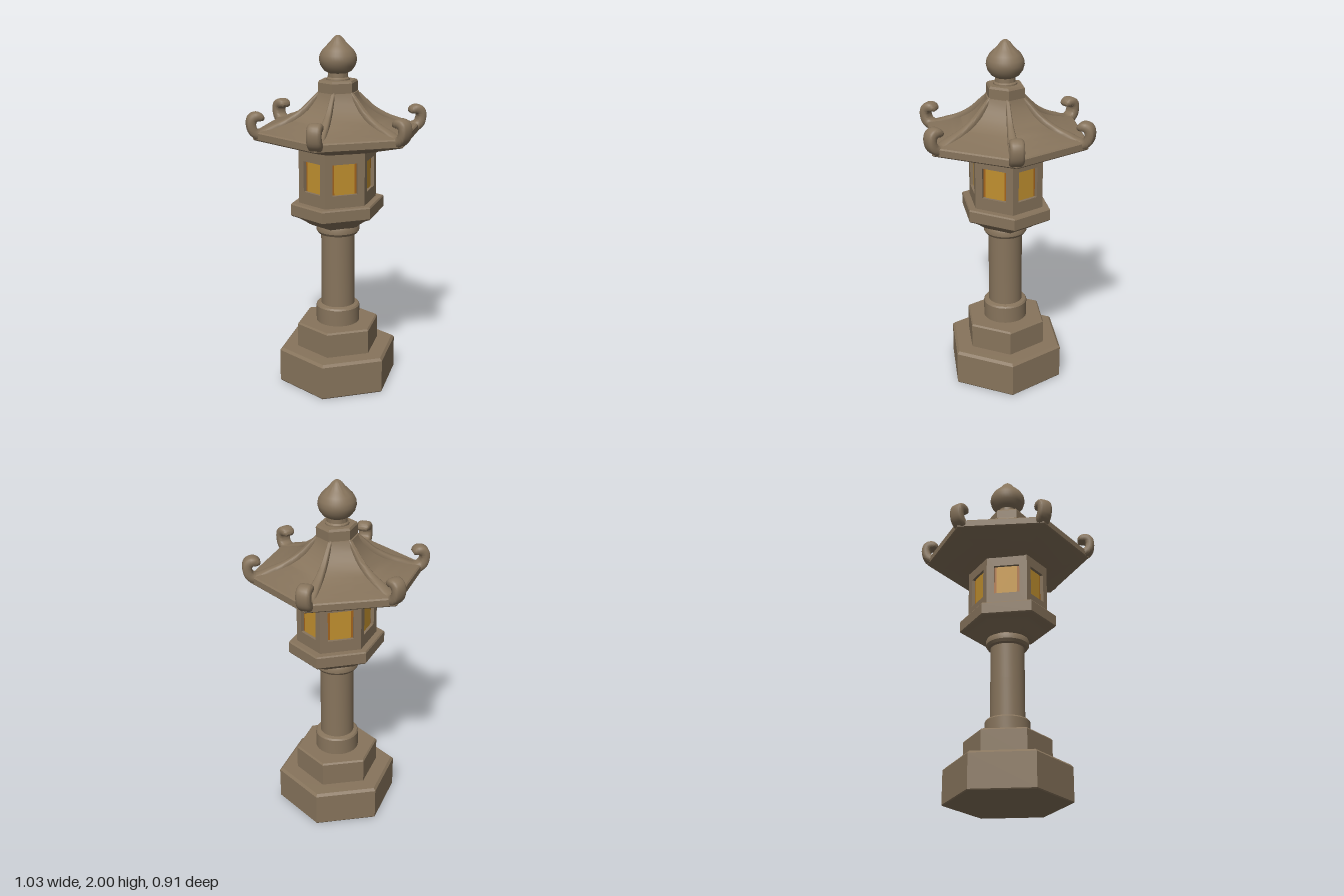
import * as THREE from 'three';
import { toCreasedNormals } from 'three/addons/utils/BufferGeometryUtils.js';

const mat = (name, color) => {
  const m = new THREE.MeshStandardMaterial({ color });
  m.name = name;
  return m;
};

// Curled ridge: a rounded section swept along a path in the xy plane.
// Each station is [radius, height, half width, half thickness].
function ridgeGeometry(stations) {
  const curve = (a, b) => new THREE.CatmullRomCurve3(
    stations.map((s) => new THREE.Vector3(s[a], s[b], 0)), false, 'catmullrom');
  const path = curve(0, 1), size = curve(2, 3);
  const rings = 44, sides = 16, pos = [], idx = [];
  const soft = (v) => Math.sign(v) * Math.pow(Math.abs(v), 0.6);
  for (let i = 0; i <= rings; i++) {
    const t = i / rings, p = path.getPoint(t), s = size.getPoint(t), d = path.getTangent(t);
    for (let j = 0; j < sides; j++) {
      const a = (j / sides) * Math.PI * 2;
      const n = soft(Math.cos(a)) * s.y;
      pos.push(p.x - d.y * n, p.y + d.x * n, soft(Math.sin(a)) * s.x);
    }
  }
  for (let i = 0; i < rings; i++) {
    for (let j = 0; j < sides; j++) {
      const a = i * sides + j, b = i * sides + (j + 1) % sides;
      idx.push(a, b, a + sides, b, b + sides, a + sides);
    }
  }
  // end caps
  for (let j = 1; j < sides - 1; j++) {
    const e = rings * sides;
    idx.push(0, j + 1, j, e, e + j, e + j + 1);
  }
  const g = new THREE.BufferGeometry();
  g.setAttribute('position', new THREE.Float32BufferAttribute(pos, 3));
  g.setIndex(idx);
  return toCreasedNormals(g, 0.8);
}

export function createModel() {
  const stone = mat('stone', 0x87745c);
  const amber = mat('amber glass', 0xc1902f);
  const orange = mat('dark orange glass', 0xa4641c);
  const model = new THREE.Group();
  model.name = 'stoneLantern';

  const add = (name, geometry, material = stone, parent = model) => {
    const mesh = new THREE.Mesh(geometry, material);
    mesh.name = name;
    parent.add(mesh);
    return mesh;
  };
  // Turned profile of [radius, height] points; six sides put corners on the x axis
  const turned = (name, points, sides = 40, depthScale = 1, crease = 0.5) => {
    const g = new THREE.LatheGeometry(points.map((p) => new THREE.Vector2(...p)), sides, Math.PI / 2);
    const mesh = add(name, toCreasedNormals(g, crease));
    mesh.scale.z = depthScale;
    return mesh;
  };
  const WIDE = 1.155; // lamp house and its shelf are deeper than a regular hexagon

  // Stepped hexagonal base
  turned('base', [[0, 0], [0.345, 0], [0.35, 0.006], [0.35, 0.193], [0.335, 0.207], [0, 0.212]], 6);
  turned('baseStep', [[0.242, 0.2], [0.242, 0.345], [0.233, 0.354], [0, 0.354]], 6);

  // Round column with collars
  turned('column', [
    [0.125, 0.35], [0.125, 0.448], [0.118, 0.457], [0.097, 0.462], [0.096, 0.68], [0.096, 0.885],
    [0.112, 0.89], [0.122, 0.905], [0.122, 0.93], [0.115, 0.945], [0.1, 0.96],
  ]);

  // Shelf flaring out under the lamp house
  turned('shelf', [
    [0, 0.935], [0.125, 0.938], [0.148, 0.95], [0.18, 0.975], [0.215, 0.997], [0.242, 1.008],
    [0.248, 1.015], [0.248, 1.075], [0.242, 1.083], [0, 1.083],
  ], 6, WIDE);

  // Lamp house: six walls with recessed windows
  const house = new THREE.Group();
  house.name = 'lampHouse';
  house.scale.z = WIDE;
  model.add(house);
  const R = 0.205, apothem = R * Math.cos(Math.PI / 6), thick = 0.022;
  const rect = (Type, w, y0, y1) => new Type([[-w, y0], [w, y0], [w, y1], [-w, y1]]
    .map((p) => new THREE.Vector2(...p)));
  const wallShape = rect(THREE.Shape, R / 2, 1.07, 1.4);
  wallShape.holes.push(rect(THREE.Path, 0.064, 1.153, 1.326));
  const wallGeo = new THREE.ExtrudeGeometry(wallShape, { depth: thick, bevelEnabled: false });
  const paneGeo = new THREE.PlaneGeometry(0.128, 0.173);
  const glowGeo = new THREE.PlaneGeometry(0.104, 0.173);
  for (let k = 0; k < 6; k++) {
    const side = new THREE.Group();
    side.name = 'lampSide';
    side.rotation.y = (k * Math.PI) / 3;
    house.add(side);
    add('wall', wallGeo, stone, side).position.z = apothem - thick;
    add('windowPane', paneGeo, orange, side).position.set(0, 1.2395, apothem - 0.018);
    add('windowGlow', glowGeo, amber, side).position.set(0, 1.2395, apothem - 0.015);
  }

  // Concave hexagonal roof
  turned('roof', [
    [0, 1.38], [0.21, 1.38], [0.47, 1.448], [0.478, 1.455], [0.478, 1.49], [0.47, 1.497],
    [0.4, 1.51], [0.33, 1.527], [0.27, 1.547], [0.22, 1.573], [0.18, 1.603], [0.15, 1.637],
    [0.13, 1.665], [0.118, 1.695], [0, 1.695],
  ], 6);

  // Ridges ending in upturned curls
  const ridgeGeo = ridgeGeometry([
    [0.1, 1.69, 0.011, 0.014], [0.14, 1.648, 0.013, 0.018], [0.2, 1.588, 0.017, 0.022],
    [0.28, 1.538, 0.024, 0.024], [0.36, 1.505, 0.032, 0.026], [0.43, 1.477, 0.038, 0.029],
    [0.473, 1.495, 0.039, 0.027], [0.487, 1.535, 0.039, 0.026], [0.479, 1.567, 0.039, 0.028],
    [0.455, 1.578, 0.039, 0.026], [0.433, 1.571, 0.036, 0.021], [0.42, 1.562, 0.026, 0.01],
  ]);
  for (let k = 0; k < 6; k++) add('roofRidge', ridgeGeo).rotation.y = (k * Math.PI) / 3;

  // Roof collar and bud finial
  turned('roofCollar', [[0.107, 1.68], [0.107, 1.748], [0.099, 1.76], [0, 1.762]], 6, 1.1);
  turned('finial', [
    [0.066, 1.75], [0.064, 1.768], [0.056, 1.775], [0.055, 1.798], [0.076, 1.81], [0.096, 1.838],
    [0.104, 1.868], [0.1, 1.895], [0.085, 1.922], [0.062, 1.945], [0.042, 1.965],
    [0.027, 1.985], [0.012, 1.997], [0, 2],
  ], 40, 1, 0.7);

  return model;
}
